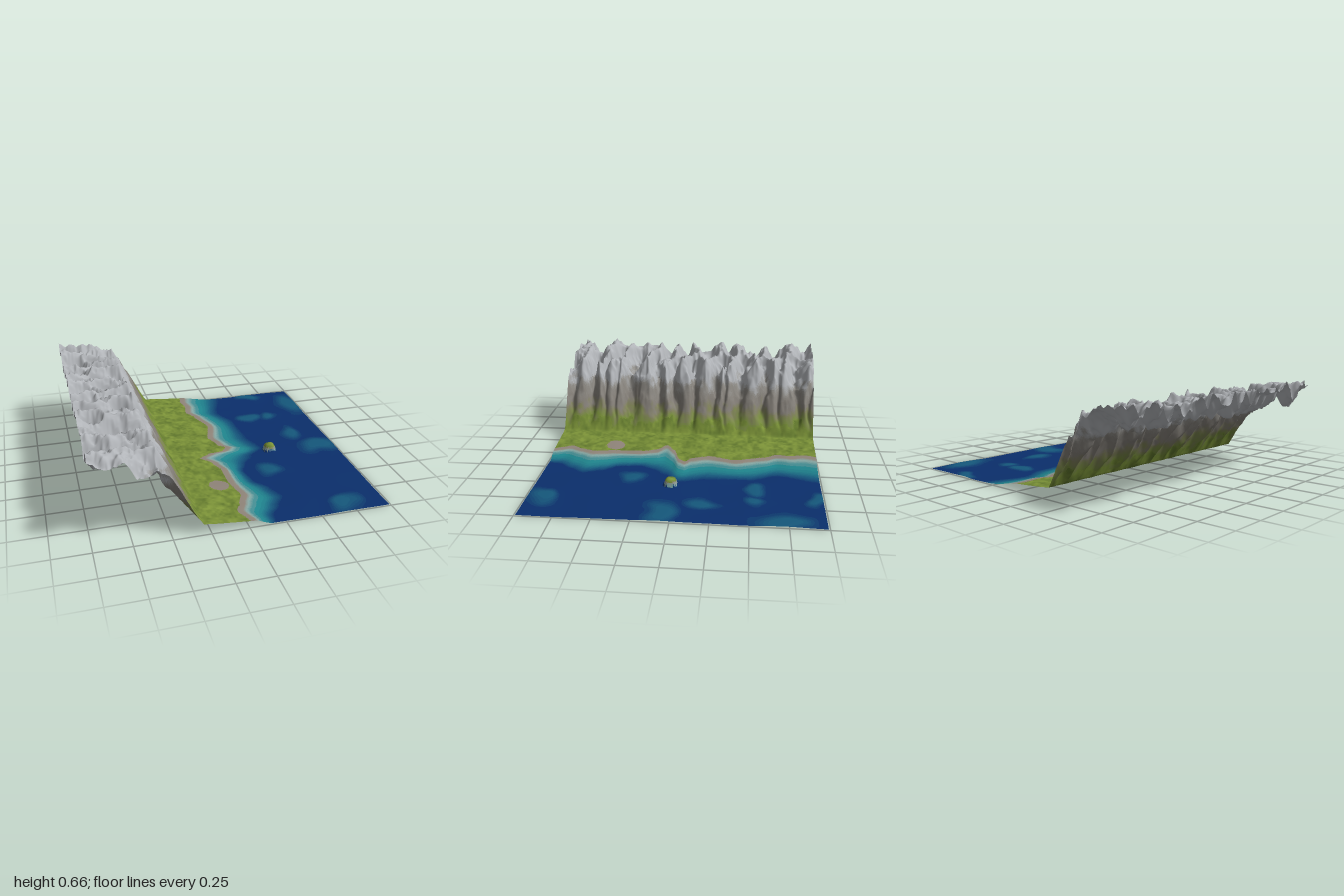
import * as THREE from 'three';

const N = 250; // grid cells per side
const { clamp, lerp, smoothstep } = THREE.MathUtils;

// curve through [position, value] pairs, eased between them
function curve(points, p, ease = (k) => k) {
  for (let i = 1; i < points.length; i++) {
    const [a, va] = points[i - 1], [b, vb] = points[i];
    if (p <= b) return lerp(va, vb, ease(clamp((p - a) / (b - a), 0, 1)));
  }
  return points[points.length - 1][1];
}
const soft = (k) => lerp(k, k * k * (3 - 2 * k), 0.7);

// smooth value noise in -1..1
function hash(i, j) {
  const s = Math.sin(i * 127.1 + j * 311.7) * 43758.5453;
  return (s - Math.floor(s)) * 2 - 1;
}
function noise(x, z) {
  const i = Math.floor(x), j = Math.floor(z);
  const u = smoothstep(x - i, 0, 1), v = smoothstep(z - j, 0, 1);
  return lerp(lerp(hash(i, j), hash(i + 1, j), u), lerp(hash(i, j + 1), hash(i + 1, j + 1), u), v);
}

// crest and gully heights across the cliff
const CREST = [[-1, 0.665], [-0.57, 0.635], [-0.5, 0.49], [-0.4, 0.27], [-0.3, 0.08]];
const GULLY = [[-1, 0.47], [-0.57, 0.4], [-0.42, 0.21], [-0.3, 0.078]];

// hollows in the mountain top: x, z, half-length, half-width, depth
const HOLLOWS = [
  [-0.88, -0.93, 0.12, 0.06, 0.7], [-0.64, -0.87, 0.14, 0.07, 0.95], [-0.92, -0.68, 0.11, 0.08, 0.85],
  [-0.7, -0.73, 0.13, 0.05, 0.7], [-0.66, -0.59, 0.18, 0.06, 1], [-0.92, -0.5, 0.14, 0.08, 0.7],
  [-0.68, -0.41, 0.2, 0.07, 1], [-0.9, -0.32, 0.13, 0.05, 0.8], [-0.7, -0.23, 0.13, 0.08, 1],
  [-0.92, -0.13, 0.15, 0.08, 0.8], [-0.66, -0.05, 0.14, 0.05, 0.9], [-0.88, 0.05, 0.12, 0.06, 0.9],
  [-0.64, 0.13, 0.13, 0.07, 0.95], [-0.86, 0.22, 0.15, 0.06, 0.9], [-0.65, 0.27, 0.12, 0.05, 0.9],
  [-0.92, 0.36, 0.11, 0.05, 0.7], [-0.74, 0.46, 0.24, 0.08, 1], [-0.82, 0.6, 0.18, 0.06, 0.9],
  [-0.62, 0.68, 0.1, 0.05, 0.7], [-0.92, 0.8, 0.1, 0.07, 0.9], [-0.66, 0.8, 0.16, 0.07, 0.9],
  [-0.9, 0.98, 0.1, 0.06, 0.5], [-0.66, 0.98, 0.11, 0.07, 0.8],
];
// gullies running down the cliff face: z, half-width, depth
const GULLIES = [[-0.97, 0.02, 0.6], [-0.86, 0.04, 1], [-0.73, 0.02, 0.6], [-0.6, 0.04, 1],
  [-0.41, 0.05, 1], [-0.31, 0.02, 0.5], [-0.22, 0.04, 1], [-0.04, 0.035, 1], [0.12, 0.04, 1],
  [0.25, 0.045, 1], [0.47, 0.055, 1], [0.57, 0.02, 0.5], [0.67, 0.025, 0.6], [0.79, 0.045, 1], [0.95, 0.04, 0.8]];

// shoreline and outer edge of the shallows: z, x
const SHORE = [[-1, 0.05], [-0.9, 0.03], [-0.8, 0.05], [-0.7, 0.03], [-0.6, 0.08], [-0.4, 0.14], [-0.2, 0.09],
  [-0.07, 0.13], [-0.025, 0.18], [0.02, 0.15], [0.07, 0.02], [0.13, -0.06], [0.2, 0.01],
  [0.32, 0.05], [0.5, 0.05], [0.68, 0.08], [0.77, 0.04], [0.86, 0], [1, 0.05]];
const SHALLOWS = [[-1, 0.33], [-0.7, 0.25], [-0.5, 0.33], [-0.2, 0.34], [0, 0.4], [0.1, 0.28],
  [0.2, 0.21], [0.3, 0.17], [0.45, 0.19], [0.58, 0.27], [0.7, 0.31], [0.8, 0.25], [0.9, 0.18], [1, 0.17]];
// raised shoals on the sea bed: x, z, half-width, half-length
const SHOALS = [[0.92, -0.72, 0.1, 0.18], [0.68, -0.55, 0.08, 0.07], [0.5, -0.55, 0.09, 0.07], [0.73, -0.2, 0.08, 0.14],
  [0.9, 0.08, 0.17, 0.1], [0.4, 0.34, 0.08, 0.1], [0.73, 0.9, 0.1, 0.09], [0.62, -0.95, 0.1, 0.06]];
const ISLET = { x: 0.475, z: 0.045, r: 0.046 };

// 0 in a hollow, 1 on the ridges
function ridge(x, z) {
  const wx = x + 0.05 * noise(x * 9, z * 9) + 0.015 * noise(x * 24, z * 24);
  const wz = z + 0.035 * noise(x * 7 + 5, z * 7) + 0.014 * noise(x * 20, z * 20);
  let t = 1;
  for (const [px, pz, a, b, deep] of HOLLOWS)
    t = Math.min(t, 1 - deep * Math.exp(-(((wx - px) / a) ** 2) - ((wz - pz) / b) ** 2));
  for (const [pz, b, deep] of GULLIES)
    t = Math.min(t, 1 - deep * Math.exp(-((Math.max(0, -0.56 - wx) / 0.07) ** 2) - ((wz - pz) / b) ** 2));
  // sharp small creases on top of the broad shapes
  const crease = 0.16 * Math.abs(noise(x * 13, z * 20)) + 0.1 * Math.abs(noise(x * 34, z * 34));
  return clamp(t + 0.05 - crease, 0, 1);
}

function shoal(x, z) {
  const wx = x + 0.05 * noise(x * 7, z * 7), wz = z + 0.05 * noise(x * 7 + 9, z * 7);
  let s = 0;
  for (const [px, pz, a, b] of SHOALS) s = Math.max(s, Math.exp(-(((wx - px) / a) ** 2) - ((wz - pz) / b) ** 2));
  return s;
}

// 0 at the shoreline, 1 where the deep water begins
function depth(x, z) {
  const s = curve(SHORE, z, soft);
  return (x - s) / (curve(SHALLOWS, z, soft) - s);
}

function isletHeight(x, z) {
  const d3 = (Math.abs(x - ISLET.x) ** 3 + Math.abs(z - ISLET.z) ** 3) / ISLET.r ** 3;
  return d3 < 1 ? 0.056 * Math.sqrt(1 - d3) : 0;
}

function height(x, z) {
  if (x < -0.3) return lerp(curve(GULLY, x), curve(CREST, x), ridge(x, z));
  const land = 0.079 - 0.09 * (x + 0.3) + 0.005 * noise(x * 9, z * 9) * smoothstep(x, -0.3, -0.25);
  const bed = 0.008 + 0.005 * shoal(x, z) + 0.003 * noise(x * 4, z * 4);
  return lerp(land, bed, smoothstep(depth(x, z), -0.1, 1)) + isletHeight(x, z);
}

// evenly spaced colour stops, cut into bands
const BANDS = 20;
const RAMPS = {
  sea: [0x0b2f6c, 0x15587c, 0x1f848c, 0x84a6a2, 0x8e8378],
  grass: [0x5f762b, 0x839a3b],
  rock: [0x748b36, 0x7d7e58, 0x827d76, 0x94928d, 0xb2b5b9],
};
function bandColor(ramp, level) {
  const stops = RAMPS[ramp], p = (level / BANDS) * (stops.length - 1), i = Math.min(Math.floor(p), stops.length - 2);
  return new THREE.Color(stops[i]).lerp(new THREE.Color(stops[i + 1]), p - i);
}
const SEA_TINT = [[0, 1], [0.08, 0.8], [0.25, 0.56], [0.6, 0.45], [0.85, 0.25], [1.12, 0]];
const ROCK_TINT = [[0.15, 0], [0.22, 0.2], [0.28, 0.48], [0.38, 0.6], [0.46, 1]];

// ramp and position on it for a point of the ground
function cover(x, y, z) {
  const fine = 0.6 * noise(x * 26, z * 26) + 0.4 * noise(x * 55, z * 55);
  const meadow = ['grass', 0.5 + 0.7 * fine];
  if (x < -0.3) {
    const h = y + 0.045 * noise(y * 24, z * 24) + 0.04 * fine;
    return h < 0.15 ? meadow : ['rock', curve(ROCK_TINT, h)];
  }
  const rise = isletHeight(x, z);
  if (rise > 0) return rise > 0.038 ? meadow : ['sea', 0.5 + rise * 13];
  const inland = curve(SHORE, z, soft) - x;
  if (inland > 0.04 && Math.hypot(x + 0.07, z - 0.53) > 0.07) return meadow;
  return ['sea', Math.max(curve(SEA_TINT, depth(x, z)), 0.25 * smoothstep(shoal(x, z), 0.1, 0.9))];
}

export function createModel() {
  const group = new THREE.Group();
  group.name = 'coastalTerrain';

  // one height field carries the whole landscape
  const field = new THREE.PlaneGeometry(1.98, 1.98, N, N).rotateX(-Math.PI / 2);
  const pos = field.attributes.position;
  for (let i = 0; i < pos.count; i++) pos.setY(i, height(pos.getX(i), pos.getZ(i)));
  field.computeVertexNormals();

  // sort the triangles into colour bands
  const bands = {}, index = field.index.array;
  for (let i = 0; i < index.length; i += 3) {
    const tri = [index[i], index[i + 1], index[i + 2]];
    const mid = (get) => tri.reduce((sum, v) => sum + pos[get](v), 0) / 3;
    const [ramp, value] = cover(mid('getX'), mid('getY'), mid('getZ'));
    const level = Math.round(clamp(value, 0, 1) * BANDS);
    const band = (bands[`${ramp}Band${level}`] ??= { color: bandColor(ramp, level), list: [] });
    band.list.push(...tri);
  }

  // each band is a mesh on the shared smooth surface
  for (const [name, { color, list }] of Object.entries(bands)) {
    const geometry = new THREE.BufferGeometry();
    geometry.setAttribute('position', pos);
    geometry.setAttribute('normal', field.attributes.normal);
    geometry.setIndex(list);
    const mesh = new THREE.Mesh(geometry, new THREE.MeshStandardMaterial({ color, side: THREE.DoubleSide }));
    mesh.name = name;
    group.add(mesh);
  }
  return group;
}
